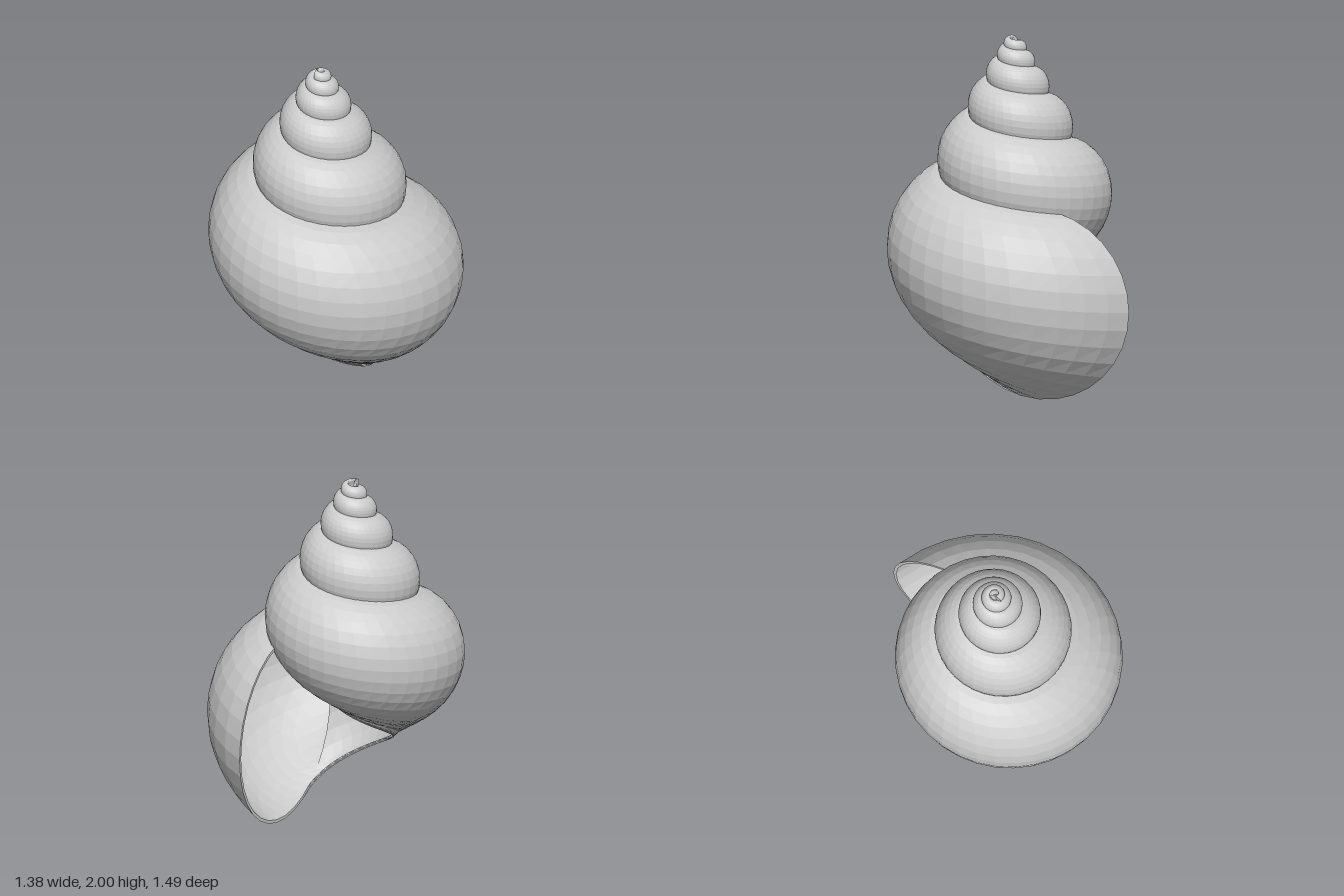
import * as THREE from 'three';

// Coiled shell: a round tube section swept around a vertical axis while growing geometrically
const APEX = new THREE.Vector3(-0.09, 2.06, 0.065);
const WHORL_GROWTH = 1.66;   // size ratio from one turn to the next
const TURNS = 5.5;
const STEPS = 36;            // sections per turn
const SIDES = 32;            // sides of the tube
const OUT = 0.265, BACK = 0.28, DROP = 1.51;  // centre of the mouth, from the apex
const RADIUS = 0.545, WALL = 0.018;

// One ring of the tube; turn = 0 at the mouth and negative towards the apex
function ring(turn, radius) {
  const s = Math.pow(WHORL_GROWTH, turn);
  const angle = Math.PI / 2 + turn * Math.PI * 2;
  const dir = new THREE.Vector3(Math.cos(angle), 0, -Math.sin(angle));
  const back = new THREE.Vector3(Math.sin(angle), 0, Math.cos(angle));
  const points = [];
  for (let j = 0; j < SIDES; j++) {
    const a = (j / SIDES) * Math.PI * 2;
    points.push(APEX.clone()
      .addScaledVector(dir, s * (OUT + radius * Math.cos(a)))
      .addScaledVector(back, s * BACK)
      .add(new THREE.Vector3(0, s * (radius * Math.sin(a) - DROP), 0)));
  }
  return points;
}

// Join successive rings with quads
function loft(rings) {
  const pos = [], index = [];
  rings.forEach(r => r.forEach(p => pos.push(p.x, p.y, p.z)));
  for (let i = 0; i < rings.length - 1; i++) {
    for (let j = 0; j < SIDES; j++) {
      const k = (j + 1) % SIDES;
      const a = i * SIDES + j, b = (i + 1) * SIDES + j;
      const c = (i + 1) * SIDES + k, d = i * SIDES + k;
      index.push(a, b, c, a, c, d);
    }
  }
  const g = new THREE.BufferGeometry();
  g.setAttribute('position', new THREE.Float32BufferAttribute(pos, 3));
  g.setIndex(index);
  g.computeVertexNormals();
  return g;
}

export function createModel() {
  const group = new THREE.Group();
  group.name = 'spiralShell';
  const material = new THREE.MeshStandardMaterial({
    color: 0xcccccc, flatShading: true, side: THREE.DoubleSide });
  const add = (name, rings) => {
    const mesh = new THREE.Mesh(loft(rings), material);
    mesh.name = name;
    group.add(mesh);
  };

  const count = Math.round(TURNS * STEPS);
  const turns = Array.from({ length: count + 1 }, (_, i) => (i - count) / STEPS);
  const inner = RADIUS - WALL;

  // Outer whorls, closed to a point at the apex
  add('outerWhorls', [ring(-TURNS, 0), ...turns.map(t => ring(t, RADIUS))]);
  // Lining of the last turn, seen through the mouth
  add('innerLining', turns.filter(t => t >= -1.25).reverse().map(t => ring(t, inner)));
  // Rim of the mouth
  add('mouthRim', [ring(0, RADIUS), ring(0, inner)]);
  return group;
}
